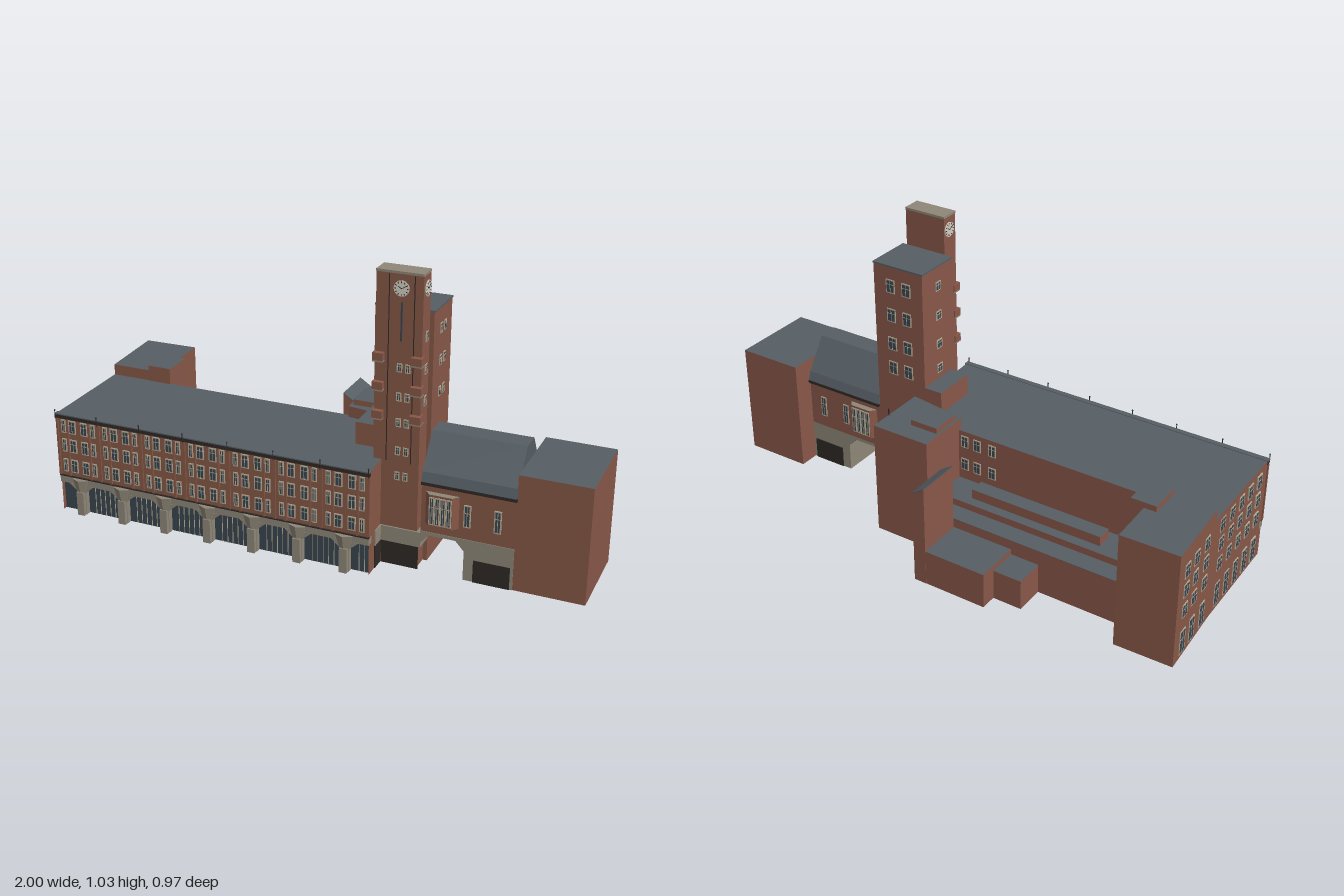
import * as THREE from 'three';
import { mergeGeometries } from 'three/addons/utils/BufferGeometryUtils.js';

const mat = (color) => new THREE.MeshStandardMaterial({ color, side: THREE.DoubleSide, flatShading: true, roughness: 0.9 });
const BRICK = mat(0x885848), ROOF = mat(0x565e64), STONE = mat(0x8f8778), GLASS = mat(0x3b4650),
  FRAME = mat(0xb3aa94), DARK = mat(0x2f2926), DIAL = mat(0xd2cec2);
const FRONT = 0, RIGHT = Math.PI / 2, BACK = Math.PI, LEFT = -Math.PI / 2;

export function createModel() {
  const model = new THREE.Group();
  const site = new THREE.Group();
  site.name = 'building';
  site.rotation.y = THREE.MathUtils.degToRad(15); // the street front runs at an angle
  model.add(site);

  // Geometries are gathered by part name and merged into one mesh each
  const parts = new Map();
  const add = (name, material, geo) => {
    if (!parts.has(name)) parts.set(name, { material, list: [] });
    parts.get(name).list.push(geo.index ? geo.toNonIndexed() : geo);
  };
  const box = (name, material, x0, x1, y0, y1, z0, z1) => add(name, material,
    new THREE.BoxGeometry(x1 - x0, y1 - y0, z1 - z0).translate((x0 + x1) / 2, (y0 + y1) / 2, (z0 + z1) / 2));
  const rect = (x0, x1, z0, z1) => [[x0, z1], [x1, z1], [x1, z0], [x0, z0]];

  // Upright walls along a path
  const walls = (name, pts, y0, y1) => pts.slice(1).forEach(([bx, bz], i) => {
    const [ax, az] = pts[i];
    add(name, BRICK, new THREE.PlaneGeometry(Math.hypot(bx - ax, bz - az), y1 - y0)
      .rotateY(Math.atan2(az - bz, bx - ax)).translate((ax + bx) / 2, (y0 + y1) / 2, (az + bz) / 2));
  });
  // Walls around a footprint, open below, with a flat roof
  const prism = (name, pts, y0, y1, roofMat = ROOF) => {
    walls(name + 'Walls', [...pts, pts[0]], y0, y1);
    const shape = new THREE.Shape(pts.map(([x, z]) => new THREE.Vector2(x, -z)));
    add(name + 'Roof', roofMat, new THREE.ShapeGeometry(shape).rotateX(-Math.PI / 2).translate(0, y1, 0));
  };
  // Outline in x-y pushed along z
  const extrudeZ = (name, material, pts, z0, z1) => add(name, material, new THREE.ExtrudeGeometry(
    new THREE.Shape(pts.map((p) => new THREE.Vector2(...p))), { depth: z1 - z0, bevelEnabled: false }).translate(0, 0, z0));
  // Framed window with a mullion and transom, set on a wall facing the given way
  const win = (name, x, y, z, w, h, face = FRONT) => {
    const put = (suffix, m, bw, bh, d, dy = 0) => add(name + suffix, m,
      new THREE.BoxGeometry(bw, bh, d).translate(0, dy, 0).rotateY(face).translate(x, y, z));
    put('Frames', FRAME, w, h, 0.005);
    put('Panes', GLASS, w - 0.008, h - 0.008, 0.006);
    put('Frames', FRAME, 0.002, h, 0.007);
    put('Frames', FRAME, w, 0.002, 0.007, h * 0.15);
  };

  // Main block, its ground floor slightly recessed along the front
  prism('mainUpper', [[-0.9, 0.245], [0.292, 0.245], [0.28, -0.155], [-0.905, -0.155]], 0.113, 0.38);
  walls('mainLower', [[-0.905, -0.155], [-0.9, 0.245]], 0, 0.113);
  walls('mainLower', [[0.292, 0.245], [0.28, -0.155]], 0, 0.113);
  box('arcadeBand', STONE, -0.902, 0.293, 0.113, 0.138, 0.226, 0.249);
  box('stringCourse', DARK, -0.902, 0.293, 0.138, 0.142, 0.24, 0.251);
  box('eaves', DARK, -0.902, 0.294, 0.364, 0.378, 0.24, 0.252);
  box('eavesRoof', ROOF, -0.904, 0.296, 0.378, 0.382, 0.235, 0.255);
  box('arcadeGlazing', GLASS, -0.9, 0.291, 0, 0.113, 0.226, 0.229);
  const bay = 1.192 / 7;
  for (let i = 0; i < 7; i++) {
    const c = -0.9 + bay * (i + 0.5);
    // Arcade pier with flared head and a faceted bracket
    extrudeZ('arcadePiers', STONE, [[c - 0.016, 0], [c + 0.016, 0], [c + 0.016, 0.085], [c + 0.05, 0.114],
      [c - 0.05, 0.114], [c - 0.016, 0.085]], 0.226, 0.25);
    box('pierShafts', STONE, c - 0.014, c + 0.014, 0, 0.09, 0.25, 0.264);
    add('pierBrackets', STONE, new THREE.CylinderGeometry(0.034, 0.02, 0.05, 6).scale(1, 1, 0.75).translate(c, 0.113, 0.246));
    for (let k = -2; k <= 2; k++) {
      const x = c + bay / 2 + k * 0.02;
      if (x < 0.29) box('arcadeMullions', FRAME, x - 0.001, x + 0.001, 0, 0.113, 0.229, 0.231);
    }
    // Upper windows, slim and wide in turn, between brick pilasters
    for (const y of [0.182, 0.26, 0.333])
      [[-0.06, 0.018], [-0.024, 0.028], [0.024, 0.028], [0.06, 0.018]].forEach(([dx, w]) =>
        win('frontWindow', c + dx, y, 0.246, w, 0.05));
    for (const dx of [-bay / 2, -0.044, 0.044])
      box('pilasters', BRICK, c + dx - 0.004, c + dx + 0.004, 0.142, 0.364, 0.243, 0.25);
  }
  for (let i = 0; i < 8; i++) {
    const x = -0.9 + bay * i;
    add('eavesPosts', DARK, new THREE.CylinderGeometry(0.0015, 0.0015, 0.035, 6).translate(x, 0.38, 0.257));
    add('eavesPosts', DARK, new THREE.SphereGeometry(0.003, 8, 6).translate(x, 0.395, 0.257));
  }

  // Left rear wing, with its stair box and the windows of the left side
  prism('leftWing', [[-0.905, -0.153], [-0.71, -0.153], [-0.715, -0.435], [-0.92, -0.43]], 0, 0.42);
  prism('leftStair', rect(-0.755, -0.665, -0.27, -0.15), 0.165, 0.44);
  for (const z of [-0.37, -0.3, -0.22, -0.1, -0.03, 0.04, 0.11, 0.18])
    for (const y of [0.06, 0.182, 0.26, 0.333])
      win('sideWindow', z < -0.15 ? -0.905 + (z + 0.153) * 0.054 : -0.903, y, z, 0.036, y < 0.1 ? 0.09 : 0.05, LEFT);

  // Low rear ranges in steps
  walls('rearRangeWalls', [[0.06, -0.342], [-0.715, -0.342]], 0, 0.165);
  box('rearRangeRoof', ROOF, -0.715, 0.06, 0.162, 0.165, -0.342, -0.155);
  prism('rearStep', rect(-0.69, 0.06, -0.275, -0.155), 0.165, 0.19);
  prism('rearLantern', rect(-0.55, -0.055, -0.24, -0.185), 0.19, 0.225);
  prism('rearProjection', rect(-0.277, -0.004, -0.506, -0.342), 0, 0.13);
  prism('rearAnnexe', rect(-0.382, -0.277, -0.448, -0.342), 0, 0.11);
  // Tall slim stack with a sloping top
  extrudeZ('rearStack', BRICK, [[-0.05, 0], [-0.004, 0], [-0.004, 0.342], [-0.05, 0.372]], -0.507, -0.345);
  extrudeZ('rearStackRoof', ROOF, [[-0.05, 0.372], [-0.004, 0.342], [-0.004, 0.346], [-0.05, 0.376]], -0.508, -0.344);

  // Right rear block and roof huts
  prism('rearBlock', [[0.055, -0.14], [0.27, -0.11], [0.272, -0.342], [0.055, -0.342]], 0, 0.42);
  prism('roofHut', rect(0.065, 0.17, -0.27, -0.16), 0.42, 0.44);
  prism('towerHut', rect(0.165, 0.25, -0.1, 0.06), 0.38, 0.46);
  add('roofPost', DARK, new THREE.CylinderGeometry(0.002, 0.002, 0.04, 6).translate(0.27, 0.425, -0.26));
  for (const y of [0.06, 0.16, 0.25, 0.34]) {
    for (const z of [-0.3, -0.23, -0.16]) win('rearBlockWindow', 0.272, y, z, 0.035, 0.05, RIGHT);
    if (y > 0.2) for (const x of [-0.08, -0.02, 0.03]) win('rearWindow', x, y, -0.155, 0.03, 0.045, BACK);
  }

  // Tower: broad rear shaft and taller clock shaft
  prism('towerRear', rect(0.233, 0.434, -0.1, 0.071), 0, 0.89);
  prism('towerClock', rect(0.261, 0.419, 0.071, 0.137), 0, 1.025, STONE);
  box('towerCap', STONE, 0.26, 0.42, 1.022, 1.03, 0.07, 0.138);
  box('towerRearCap', ROOF, 0.231, 0.436, 0.886, 0.892, -0.102, 0.071);
  for (const x of [0.305, 0.39]) box('towerGrooves', DARK, x - 0.0015, x + 0.0015, 0.38, 1.02, 0.136, 0.138);
  box('towerSlit', GLASS, 0.345, 0.351, 0.8, 0.93, 0.136, 0.139);
  for (const y of [0.33, 0.42, 0.52, 0.61, 0.71])
    for (const x of [0.345, 0.373]) win('towerWindow', x, y, 0.137, 0.018, 0.03);
  for (const y of [0.595, 0.705, 0.815]) {
    win('towerWindow', 0.419, y, 0.098, 0.02, 0.034, RIGHT);
    for (const z of [0.002, -0.034]) win('towerWindow', 0.434, y, z, 0.02, 0.034, RIGHT);
  }
  for (const y of [0.5, 0.595, 0.705, 0.815]) {
    for (const x of [0.3, 0.365]) win('towerWindow', x, y, -0.1, 0.036, 0.05, BACK);
    win('towerWindow', 0.233, y, -0.01, 0.03, 0.034, LEFT);
  }
  // Balconies at the two front corners
  for (const y of [0.53, 0.63, 0.73])
    for (const [x0, x1] of [[0.257, 0.293], [0.387, 0.425]]) {
      box('balconies', BRICK, x0, x1, y, y + 0.026, 0.122, 0.155);
      box('balconySlabs', STONE, x0, x1, y - 0.005, y, 0.122, 0.155);
    }
  // Clock dials with hour marks and hands
  for (const [x, z, face] of [[0.346, 0.137, FRONT], [0.419, 0.1, RIGHT], [0.261, 0.1, LEFT]]) {
    const place = (geo) => geo.rotateY(face).translate(x, 0.975, z);
    add('clockDials', DIAL, place(new THREE.CylinderGeometry(0.026, 0.026, 0.006, 32).rotateX(Math.PI / 2)));
    for (let i = 0; i < 12; i++)
      add('clockMarks', DARK, place(new THREE.BoxGeometry(0.0025, 0.006, 0.001).translate(0, 0.021, 0.0035).rotateZ(i * Math.PI / 6)));
    for (const [len, a] of [[0.018, -1.05], [0.013, 1.0]])
      add('clockHands', DARK, place(new THREE.BoxGeometry(0.002, len, 0.001).translate(0, len / 2, 0.0035).rotateZ(a)));
  }

  // Stone facing at the tower foot and on the end wall beside it, with dark doorways
  box('towerFacing', STONE, 0.288, 0.434, 0.085, 0.14, 0.071, 0.143);
  box('towerDoorway', DARK, 0.295, 0.425, 0, 0.085, 0.135, 0.14);
  box('endWallFacing', STONE, 0.286, 0.294, 0.085, 0.14, 0.137, 0.192);
  box('endWallDoorway', DARK, 0.286, 0.293, 0, 0.085, 0.137, 0.192);

  // Gate link: stone base with a chamfered passage, brick storey, mansard roof
  extrudeZ('gateBase', STONE, [[0.434, 0.105], [0.464, 0.138], [0.556, 0.138], [0.586, 0.105],
    [0.586, 0], [0.755, 0], [0.755, 0.15], [0.434, 0.15]], -0.1, 0.145);
  box('gateStorey', BRICK, 0.434, 0.755, 0.15, 0.33, -0.1, 0.143);
  box('gateEaves', DARK, 0.434, 0.757, 0.322, 0.332, -0.11, 0.153);
  add('gateRoof', ROOF, new THREE.ExtrudeGeometry(new THREE.Shape([[0.15, 0.332], [0.14, 0.365], [0.055, 0.478], [-0.02, 0.478],
    [-0.097, 0.365], [-0.107, 0.332]].map(([z, y]) => new THREE.Vector2(-z, y))), { depth: 0.321, bevelEnabled: false })
    .rotateY(Math.PI / 2).translate(0.434, 0, 0));
  for (const [z, s, face] of [[0.145, 1, FRONT], [-0.1, -1, BACK]]) {
    // Oriel with canted sides, and slim windows beside it
    const plan = [[0.45, z], [0.468, z + s * 0.022], [0.547, z + s * 0.022], [0.565, z]];
    prism('oriel', plan, 0.185, 0.3, STONE);
    for (let i = 0; i < 4; i++) win('orielWindow', 0.478 + i * 0.0197, 0.242, z + s * 0.022, 0.018, 0.1, face);
    for (const x of [0.593, 0.696]) win('gateWindow', x, 0.235, z, 0.024, 0.08, face);
    box('gateDoorways', DARK, 0.62, 0.745, 0, 0.08, z - 0.003, z + 0.003);
  }

  // Plain end block on the right
  prism('endBlock', rect(0.755, 0.997, -0.175, 0.143), 0, 0.415);

  for (const [name, { material, list }] of parts) {
    const mesh = new THREE.Mesh(mergeGeometries(list), material);
    mesh.name = name;
    site.add(mesh);
  }
  return model;
}
